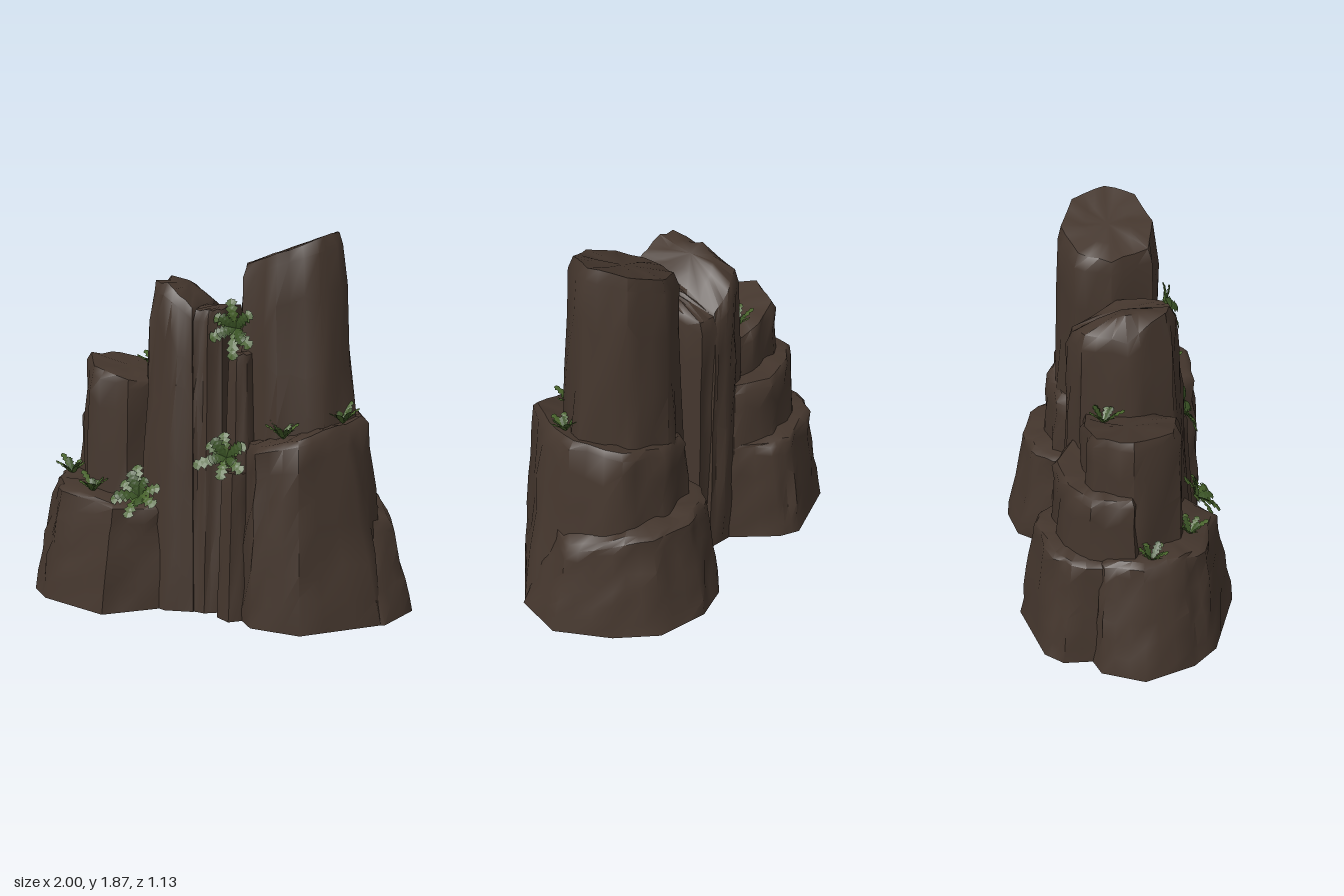
import * as THREE from 'three';
import { toCreasedNormals, mergeGeometries } from 'three/addons/utils/BufferGeometryUtils.js';

const rockMat = new THREE.MeshStandardMaterial({ color: 0x44362d });
rockMat.name = 'brown rock';
const leafMat = new THREE.MeshStandardMaterial({ color: 0x48632b, side: THREE.DoubleSide });
leafMat.name = 'fern green';
const darkLeafMat = new THREE.MeshStandardMaterial({ color: 0x3a5325, side: THREE.DoubleSide });
darkLeafMat.name = 'dark fern green';

// Seeded noise in -1..1
function makeNoise(seed) {
  let s = seed * 7919 + 17;
  return () => {
    s = (s * 16807) % 2147483647;
    return (s / 2147483647) * 2 - 1;
  };
}

// Splits every edge of an outline into three
function refine(outline) {
  const out = [];
  outline.forEach(([x, z], i) => {
    const [u, w] = outline[(i + 1) % outline.length];
    for (const t of [0, 0.36, 0.7]) out.push([x + (u - x) * t, z + (w - z) * t]);
  });
  return out;
}

// Weathered column lofted from a ground outline to a top outline, with a sloping capped top
function rock(name, base, top, topY, seed) {
  const noise = makeNoise(seed);
  const A = refine(base), B = refine(top), n = A.length;
  const cx = B.reduce((s, p) => s + p[0], 0) / n;
  const cz = B.reduce((s, p) => s + p[1], 0) / n;
  const radius = B.reduce((s, p) => s + Math.hypot(p[0] - cx, p[1] - cz), 0) / n;
  const rough = Math.min(1, radius / 0.22) ** 2;
  const grooves = A.map((_, j) => (j % 3 ? noise() * 0.012 : 0));
  const pos = [], index = [];

  // Side rings, chipped a little at each level
  const levels = [0, 0.15, 0.32, 0.5, 0.68, 0.85, 0.965];
  for (const t of levels) {
    for (let j = 0; j < n; j++) {
      const x = A[j][0] + (B[j][0] - A[j][0]) * t;
      const z = A[j][1] + (B[j][1] - A[j][1]) * t;
      const d = Math.hypot(x - cx, z - cz);
      const push = t === 0 ? 1 : 1 + rough * (grooves[j] + noise() * 0.011) / d;
      const h = t > 0 && t < 0.9 ? t + noise() * 0.05 : t;
      pos.push(cx + (x - cx) * push, topY(B[j][0], B[j][1]) * h, cz + (z - cz) * push);
    }
  }
  // Worn rim and inner ring of the top
  for (const k of [0.93, 0.5]) {
    for (let j = 0; j < n; j++) {
      const x = cx + (B[j][0] - cx) * k, z = cz + (B[j][1] - cz) * k;
      pos.push(x, topY(x, z) + noise() * 0.007, z);
    }
  }
  const rings = levels.length + 2;
  for (let i = 0; i < rings - 1; i++) {
    for (let j = 0; j < n; j++) {
      const a = i * n + j, b = i * n + (j + 1) % n;
      index.push(a, a + n, b, b, a + n, b + n);
    }
  }
  // Close the top and the underside
  const tip = rings * n, last = (rings - 1) * n;
  pos.push(cx, topY(cx, cz), cz, cx, 0, cz);
  for (let j = 0; j < n; j++) {
    const k = (j + 1) % n;
    index.push(last + j, tip, last + k, j, k, tip + 1);
  }
  const g = new THREE.BufferGeometry();
  g.setAttribute('position', new THREE.Float32BufferAttribute(pos, 3));
  g.setIndex(index);
  const mesh = new THREE.Mesh(toCreasedNormals(g, 0.85), rockMat);
  mesh.name = name;
  return mesh;
}

// One arching frond: a spine with overlapping pairs of broad pointed leaflets
function frond(length, angle, rise, width) {
  const pos = [], steps = 5;
  const spine = t => [length * t, length * (rise * t - 0.55 * t * t)];
  for (let i = 0; i < steps; i++) {
    const t0 = i / steps;
    const [x0, y0] = spine(t0), [x1, y1] = spine(Math.min(1, t0 + 0.42));
    const [xt, yt] = spine(Math.min(0.95, t0 + 0.27));
    const w = width * Math.sin(Math.PI * (0.25 + 0.65 * t0));
    pos.push(x0, y0, 0, xt, yt - w * 0.2, w, x1, y1, 0);
    pos.push(x0, y0, 0, x1, y1, 0, xt, yt - w * 0.2, -w);
  }
  const g = new THREE.BufferGeometry();
  g.setAttribute('position', new THREE.Float32BufferAttribute(pos, 3));
  g.computeVertexNormals();
  return g.rotateY(angle);
}

// Fern made of a spread ring of fronds and a steeper darker heart
function fern(name, [x, y, z], size, rise, tilt, seed) {
  const noise = makeNoise(seed);
  const ring = (count, length, lift) => mergeGeometries(Array.from({ length: count }, (_, i) =>
    frond(length * (1 + noise() * 0.2), (i + 0.5 + noise() * 0.25) / count * Math.PI * 2, lift, size * 0.25)));
  const group = new THREE.Group();
  group.name = name;
  const outer = new THREE.Mesh(ring(6, size, rise), leafMat);
  outer.name = 'outerFronds';
  const inner = new THREE.Mesh(ring(4, size * 0.65, rise + 0.4), darkLeafMat);
  inner.name = 'innerFronds';
  group.add(outer, inner);
  group.position.set(x, y, z);
  group.rotation.x = tilt;
  return group;
}

export function createModel() {
  const model = new THREE.Group();
  model.name = 'rockFormation';
  const clamp = THREE.MathUtils.clamp;

  // Tall right column and its two steps
  model.add(rock('tallColumn',
    [[.1, -.02], [.16, -.23], [.38, -.33], [.63, -.25], [.77, -.02], [.66, .2], [.42, .29], [.2, .22]],
    [[.12, -.02], [.18, -.19], [.36, -.27], [.54, -.2], [.63, -.02], [.56, .14], [.38, .22], [.2, .18]],
    x => 1.69 + 0.38 * (x - 0.12), 1));
  model.add(rock('rightMiddleStep',
    [[.14, -.2], [.25, -.36], [.5, -.38], [.74, -.3], [.92, -.02], [.92, .19], [.61, .49], [.35, .47], [.2, .3]],
    [[.14, -.15], [.25, -.29], [.45, -.33], [.66, -.26], [.76, -.02], [.71, .2], [.57, .42], [.36, .42], [.24, .27]],
    x => 0.86 + 0.25 * (x - 0.25), 2));
  model.add(rock('rightBaseStep',
    [[.1, -.15], [.12, -.35], [.24, -.52], [.42, -.57], [.68, -.51], [.85, -.34], [1, -.08], [.94, .18], [.8, .24], [.4, .2]],
    [[.13, -.15], [.16, -.32], [.26, -.43], [.43, -.46], [.63, -.42], [.77, -.28], [.89, -.08], [.76, .06], [.65, .1], [.4, .1]],
    x => 0.54 - 0.5 * Math.max(0, x - 0.7), 3));

  // Central column in two halves, falling away to the rear
  const rearDrop = z => 0.5 * Math.max(0, -z);
  model.add(rock('centreColumn',
    [[-.42, .05], [-.32, -.22], [-.14, -.28], [0, -.26], [.03, 0], [0, .35], [-.14, .38], [-.32, .31]],
    [[-.35, .02], [-.28, -.19], [-.15, -.25], [-.04, -.25], [-.02, 0], [-.03, .28], [-.14, .26], [-.26, .22]],
    (x, z) => Math.min(1.62, 1.48 + 1.6 * (x + 0.36), 1.62 - 0.75 * (x + 0.18)) - rearDrop(z), 4));
  model.add(rock('centreRightColumn',
    [[-.08, 0], [-.06, -.25], [.08, -.24], [.17, 0], [.14, .3], [.06, .35], [-.02, .34]],
    [[-.07, 0], [-.05, -.25], [.05, -.24], [.12, 0], [.1, .22], [.05, .27], [-.02, .28]],
    (x, z) => 1.5 - rearDrop(z), 5));

  // Narrow slabs wedged in the gap
  model.add(rock('upperSlab',
    [[.11, .05], [.3, .05], [.29, .32], [.22, .36], [.14, .33]],
    [[.13, .05], [.27, .05], [.25, .27], [.21, .3], [.16, .28]], () => 1.3, 6));
  model.add(rock('lowerSlab',
    [[.11, .2], [.31, .2], [.29, .37], [.22, .43], [.14, .38]],
    [[.13, .15], [.28, .15], [.26, .33], [.22, .38], [.15, .34]], () => 0.73, 7));

  // Left column, its rear steps and front ledge
  model.add(rock('leftColumn',
    [[-.78, .02], [-.68, -.19], [-.46, -.25], [-.26, -.21], [-.22, .1], [-.38, .33], [-.63, .28]],
    [[-.72, .02], [-.63, -.16], [-.45, -.21], [-.28, -.19], [-.26, .1], [-.38, .27], [-.6, .23]],
    x => 1.2 - 0.24 * (x + 0.7), 8));
  model.add(rock('leftMiddleStep',
    [[-.82, .03], [-.8, -.22], [-.64, -.35], [-.38, -.41], [-.17, -.28], [-.18, .1], [-.5, .13]],
    [[-.76, .02], [-.73, -.18], [-.6, -.29], [-.38, -.34], [-.2, -.25], [-.2, .1], [-.5, .1]],
    () => 0.9, 9));
  model.add(rock('leftRearBaseStep',
    [[-.83, -.05], [-.83, -.33], [-.76, -.42], [-.42, -.53], [-.32, -.48], [-.12, -.26], [-.15, .1]],
    [[-.8, -.05], [-.77, -.28], [-.69, -.36], [-.42, -.45], [-.31, -.4], [-.14, -.23], [-.15, .1]],
    x => 0.57 - 0.06 * clamp(x + 0.4, 0, 1), 10));
  model.add(rock('leftFrontLedge',
    [[-1, .06], [-.92, -.15], [-.8, -.2], [-.2, -.1], [-.17, .36], [-.4, .56], [-.78, .43], [-.9, .31]],
    [[-.84, .06], [-.8, -.12], [-.7, -.15], [-.2, -.1], [-.18, .32], [-.38, .46], [-.7, .36], [-.8, .24]],
    x => 0.59 - 0.11 * (x + 0.84), 11));

  // Large ferns spread over the cracks
  const largeFerns = [[[.18, 1.42, .235], 1.3], [[.17, .8, .33], 1.05], [[-.28, .57, .37], 0.85]];
  largeFerns.forEach(([at, tilt], i) => model.add(fern('largeFern', at, .14, 0.85, tilt, i + 1)));

  // Upright tufts on the ledges
  const tufts = [[-.39, 1.11, -.1], [-.78, .57, .1], [-.56, .55, .31], [.44, .9, .27], [.68, .96, .09]];
  tufts.forEach((at, i) => model.add(fern('smallFern', at, .083, 1.45, 0.1, i + 4)));
  return model;
}
